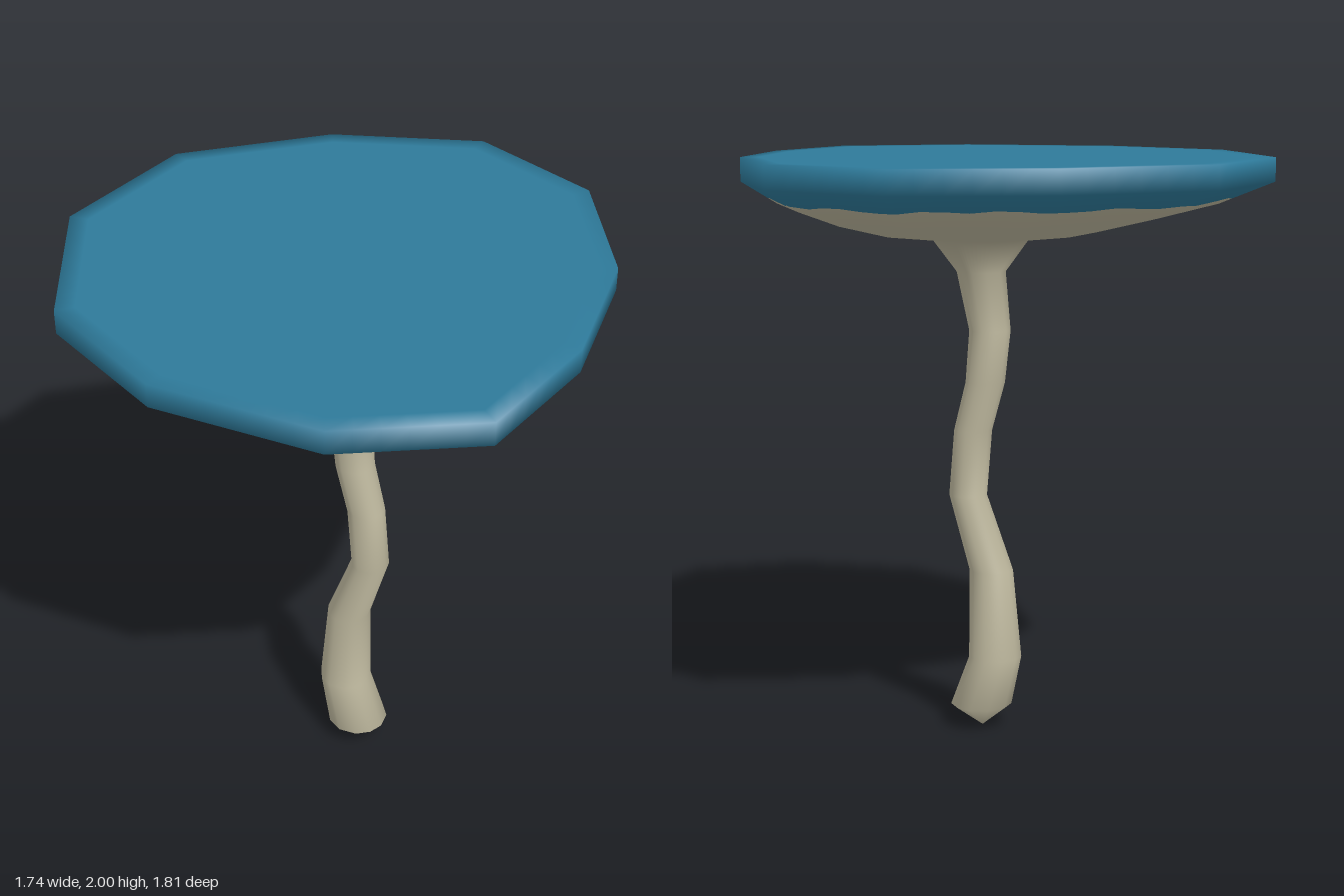
import * as THREE from 'three';

// Uneven eleven-sided rim of the cap, as [x, z]
const RIM = [[-0.08, -0.91], [0.39, -0.83], [0.72, -0.46], [0.87, 0], [0.87, 0.46], [0.51, 0.78],
  [-0.04, 0.9], [-0.52, 0.77], [-0.87, 0.32], [-0.87, -0.21], [-0.53, -0.64]];
const SIDES = RIM.length;
const STEPS = 6; // subdivisions per side, for the ragged colour border

// Cap rings from the top centre to the underside: [scale of rim, y, centre x]
const CAP = [[0, 2, 0], [0.93, 2, 0], [1, 2, 0], [1, 1.92, 0], [0.83, 1.845, 0.03],
  [0.63, 1.79, 0.06], [0.42, 1.745, 0.06]];
// Round stem rings from neck to pointed foot: [radius, y, centre x]
const STEM = [[0.165, 1.72, 0.065], [0.084, 1.61, 0.063], [0.071, 1.41, 0.03], [0.068, 1.23, 0.048],
  [0.066, 1.06, 0.095], [0.066, 0.83, 0.115], [0.076, 0.57, 0.025], [0.092, 0.26, 0.01],
  [0.107, 0.08, 0.065], [0, 0, 0.06]];
const NECK = CAP.length;
const FOOT = CAP.length + STEM.length - 1;

// Coarse surface of the whole mushroom, used for points and smooth normals
function coarseSurface() {
  const pos = [], index = [];
  for (const [s, y, cx] of CAP) for (const [x, z] of RIM) pos.push(cx + x * s, y, z * s);
  for (const [r, y, cx] of STEM) {
    for (const [x, z] of RIM) {
      const l = Math.hypot(x, z);
      pos.push(cx + x / l * r, y, 0.007 + z / l * r);
    }
  }
  for (let row = 0; row < FOOT; row++) {
    for (let i = 0; i < SIDES; i++) {
      const j = (i + 1) % SIDES, a = row * SIDES, b = a + SIDES;
      index.push(a + i, b + j, b + i, a + i, a + j, b + j);
    }
  }
  const g = new THREE.BufferGeometry();
  g.setAttribute('position', new THREE.Float32BufferAttribute(pos, 3));
  g.setIndex(index);
  g.computeVertexNormals();
  return g;
}

// Blend a coarse attribute at side position u and ring position v
function sample(attribute, u, v) {
  const i = Math.floor(u) % SIDES, j = (i + 1) % SIDES, fu = u - Math.floor(u);
  const row = Math.min(Math.floor(v), FOOT - 1), fv = v - row;
  const at = (r, k) => new THREE.Vector3().fromBufferAttribute(attribute, r * SIDES + k);
  return at(row, i).lerp(at(row, j), fu).lerp(at(row + 1, i).lerp(at(row + 1, j), fu), fv);
}

// Ragged lower border of the cap colour
const border = (u) => {
  const a = u / SIDES * Math.PI * 2;
  return 3.77 + 0.05 * Math.sin(a * 17) + 0.04 * Math.sin(a * 9 + 1) + 0.03 * Math.sin(a * 25 + 2);
};

// Skin between rings; a ring is a number or a function of u
function skin(coarse, rings) {
  const cols = SIDES * STEPS, pos = [], nor = [], index = [];
  for (const ring of rings) {
    for (let k = 0; k < cols; k++) {
      const u = k / STEPS, v = typeof ring === 'function' ? ring(u) : ring;
      pos.push(...sample(coarse.attributes.position, u, v).toArray());
      nor.push(...sample(coarse.attributes.normal, u, v).normalize().toArray());
    }
  }
  for (let r = 0; r < rings.length - 1; r++) {
    for (let k = 0; k < cols; k++) {
      const n = (k + 1) % cols, a = r * cols, b = a + cols;
      index.push(a + k, b + n, b + k, a + k, a + n, b + n);
    }
  }
  const g = new THREE.BufferGeometry();
  g.setAttribute('position', new THREE.Float32BufferAttribute(pos, 3));
  g.setAttribute('normal', new THREE.Float32BufferAttribute(nor, 3));
  g.setIndex(index);
  return g;
}

export function createModel() {
  const blue = new THREE.MeshStandardMaterial({ color: 0x2e7a9a });
  blue.name = 'cap blue';
  const cream = new THREE.MeshStandardMaterial({ color: 0xbfb99f });
  cream.name = 'stem cream';

  const group = new THREE.Group();
  group.name = 'mushroom';
  const coarse = coarseSurface();
  const add = (name, rings, material) => {
    const mesh = new THREE.Mesh(skin(coarse, rings), material);
    mesh.name = name;
    group.add(mesh);
  };
  const stemRings = STEM.map((_, i) => NECK + i);
  add('cap', [0, 1, 2, 3, border], blue);
  add('capUnderside', [border, 4, 5, 6, NECK], cream);
  add('stem', stemRings, cream);
  return group;
}
